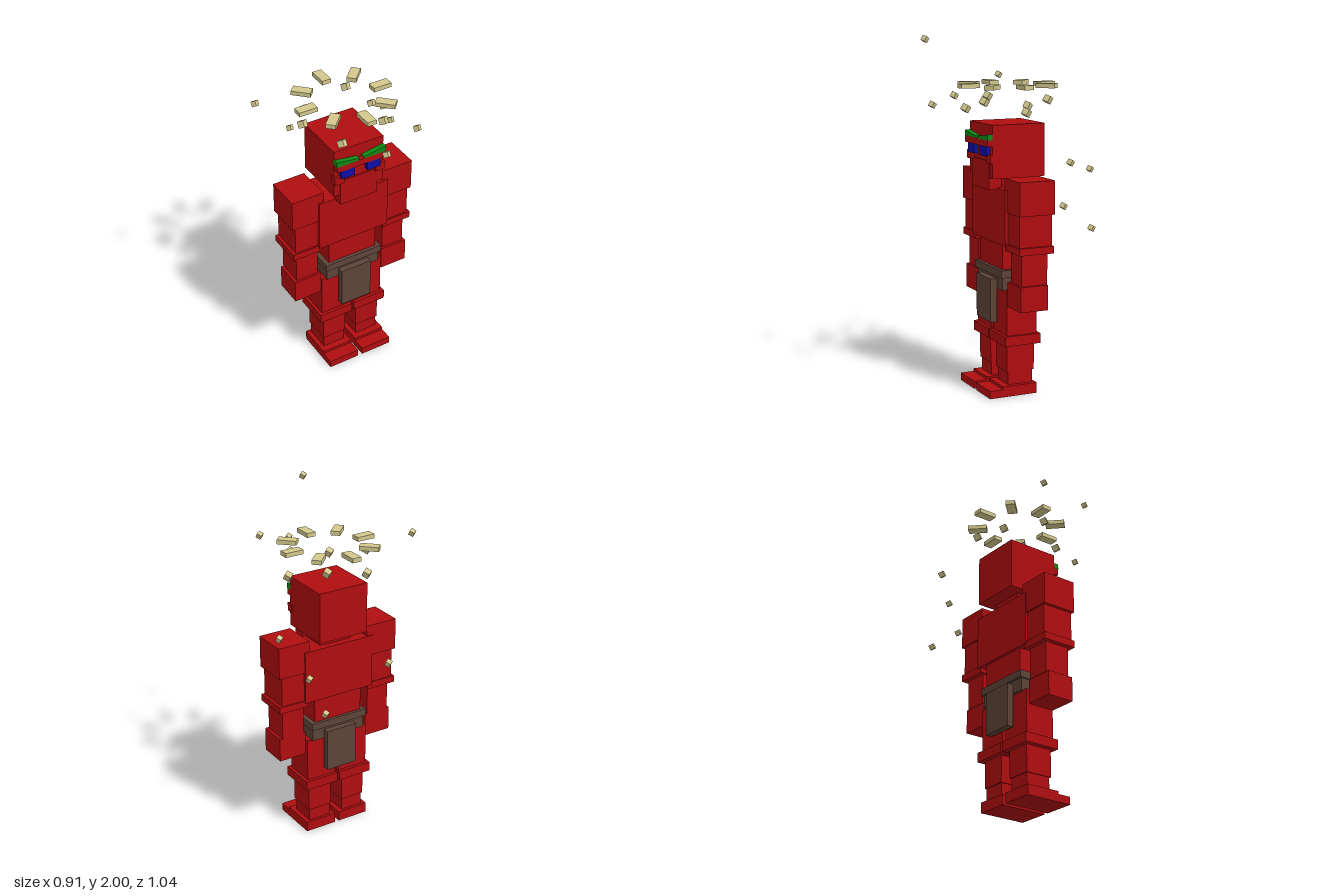
import * as THREE from 'three';

const mat = (name, color) => {
  const m = new THREE.MeshStandardMaterial({ color });
  m.name = name;
  return m;
};

export function createModel() {
  const red = mat('red skin', 0xb00d10);
  const brown = mat('brown leather', 0x5d4438);
  const blue = mat('blue eyes', 0x0e0ea8);
  const green = mat('green brows', 0x0e8a14);
  const sand = mat('pale stone', 0xd2c88c);

  const model = new THREE.Group();
  model.name = 'blockFigure';
  const figure = new THREE.Group();
  figure.name = 'figure';
  figure.position.x = 0.012;
  model.add(figure);

  // Box given by its minimum and maximum on each axis
  function box(name, m, [x0, x1], [y0, y1], [z0, z1]) {
    const mesh = new THREE.Mesh(new THREE.BoxGeometry(x1 - x0, y1 - y0, z1 - z0), m);
    mesh.position.set((x0 + x1) / 2, (y0 + y1) / 2, (z0 + z1) / 2);
    mesh.name = name;
    figure.add(mesh);
    return mesh;
  }
  const centred = (name, m, half, y, z) => box(name, m, [-half, half], y, z);
  function pair(name, m, [x0, x1], y, z) {
    box(name + 'Left', m, [x0, x1], y, z);
    box(name + 'Right', m, [-x1, -x0], y, z);
  }

  // Head and face
  centred('head', red, 0.154, [1.226, 1.52], [-0.105, 0.21]);
  centred('jaw', red, 0.118, [1.16, 1.32], [0.14, 0.215]);
  centred('neck', red, 0.1, [1.15, 1.24], [-0.02, 0.13]);
  centred('browRidge', red, 0.152, [1.402, 1.438], [0.2, 0.24]);
  pair('cheek', red, [0.1, 0.16], [1.31, 1.358], [0.185, 0.226]);
  pair('eye', blue, [0.04, 0.123], [1.348, 1.402], [0.2, 0.236]);

  // Slanted eyebrows, taller at the outer end
  for (const s of [1, -1]) {
    const shape = new THREE.Shape([
      [0.015, 1.436], [0.154, 1.438], [0.154, 1.47], [0.015, 1.45],
    ].map(([x, y]) => new THREE.Vector2(s * x, y)));
    const brow = new THREE.Mesh(
      new THREE.ExtrudeGeometry(shape, { depth: 0.04, bevelEnabled: false }), green);
    brow.position.z = 0.2;
    brow.name = s > 0 ? 'eyebrowLeft' : 'eyebrowRight';
    figure.add(brow);
  }

  // Torso
  centred('chest', red, 0.222, [0.858, 1.17], [-0.06, 0.166]);
  centred('abdomen', red, 0.154, [0.7, 0.86], [-0.045, 0.15]);
  centred('belt', brown, 0.181, [0.673, 0.715], [-0.063, 0.17]);
  centred('hips', brown, 0.171, [0.6, 0.673], [-0.05, 0.158]);
  centred('frontCloth', brown, 0.097, [0.408, 0.656], [0.16, 0.198]);
  centred('backCloth', brown, 0.097, [0.408, 0.656], [-0.088, -0.05]);

  // Arms
  pair('shoulder', red, [0.19, 0.385], [1.046, 1.232], [-0.054, 0.155]);
  pair('upperArm', red, [0.214, 0.366], [0.87, 1.046], [-0.046, 0.148]);
  pair('elbow', red, [0.2, 0.383], [0.832, 0.872], [-0.052, 0.156]);
  pair('forearm', red, [0.216, 0.354], [0.654, 0.832], [-0.025, 0.13]);
  pair('hand', red, [0.204, 0.371], [0.516, 0.656], [-0.022, 0.143]);

  // Legs
  pair('thigh', red, [0.012, 0.199], [0.345, 0.604], [-0.036, 0.145]);
  pair('knee', red, [0.007, 0.217], [0.291, 0.347], [-0.055, 0.164]);
  pair('shin', red, [0.037, 0.186], [0.135, 0.291], [-0.027, 0.138]);
  pair('ankle', red, [0.043, 0.18], [0.055, 0.135], [-0.02, 0.13]);
  pair('foot', red, [0.014, 0.206], [0, 0.06], [-0.036, 0.172]);
  pair('toe', red, [0.014, 0.206], [0, 0.044], [0.172, 0.252]);

  // Ring of radial bars above the head
  for (let i = 0; i < 8; i++) {
    const a = (i * Math.PI) / 4;
    const bar = new THREE.Mesh(new THREE.BoxGeometry(0.11, 0.025, 0.055), sand);
    bar.position.set(0.23 * Math.cos(a), 1.726, 0.051 - 0.23 * Math.sin(a));
    bar.rotation.y = a;
    bar.name = 'haloBar' + i;
    figure.add(bar);
  }

  // Floating tilted stones
  function stone(name, size, x, y, z) {
    const mesh = new THREE.Mesh(new THREE.BoxGeometry(size, size, size), sand);
    mesh.position.set(x, y, z);
    mesh.rotation.set(-0.55, 0.6, 0);
    mesh.name = name;
    model.add(mesh);
  }
  for (let i = 0; i < 6; i++) {
    const a = (i * Math.PI) / 3;
    const high = i === 1 || i === 3 || i === 5;
    stone('ringStone' + i, 0.037, 0.012 + 0.255 * Math.cos(a), high ? 1.647 : 1.592,
      0.054 + 0.222 * Math.sin(a));
  }
  [
    [-0.098, 1.98, 0.493], [-0.438, 1.753, -0.103], [0.214, 1.694, 0.453],
    [0.002, 1.63, 0.493], [0.435, 1.33, -0.127], [-0.02, 1.22, -0.494],
    [0.275, 1.067, -0.17], [0.281, 0.932, -0.343],
  ].forEach((p, i) => stone('looseStone' + i, 0.029, ...p));

  return model;
}
